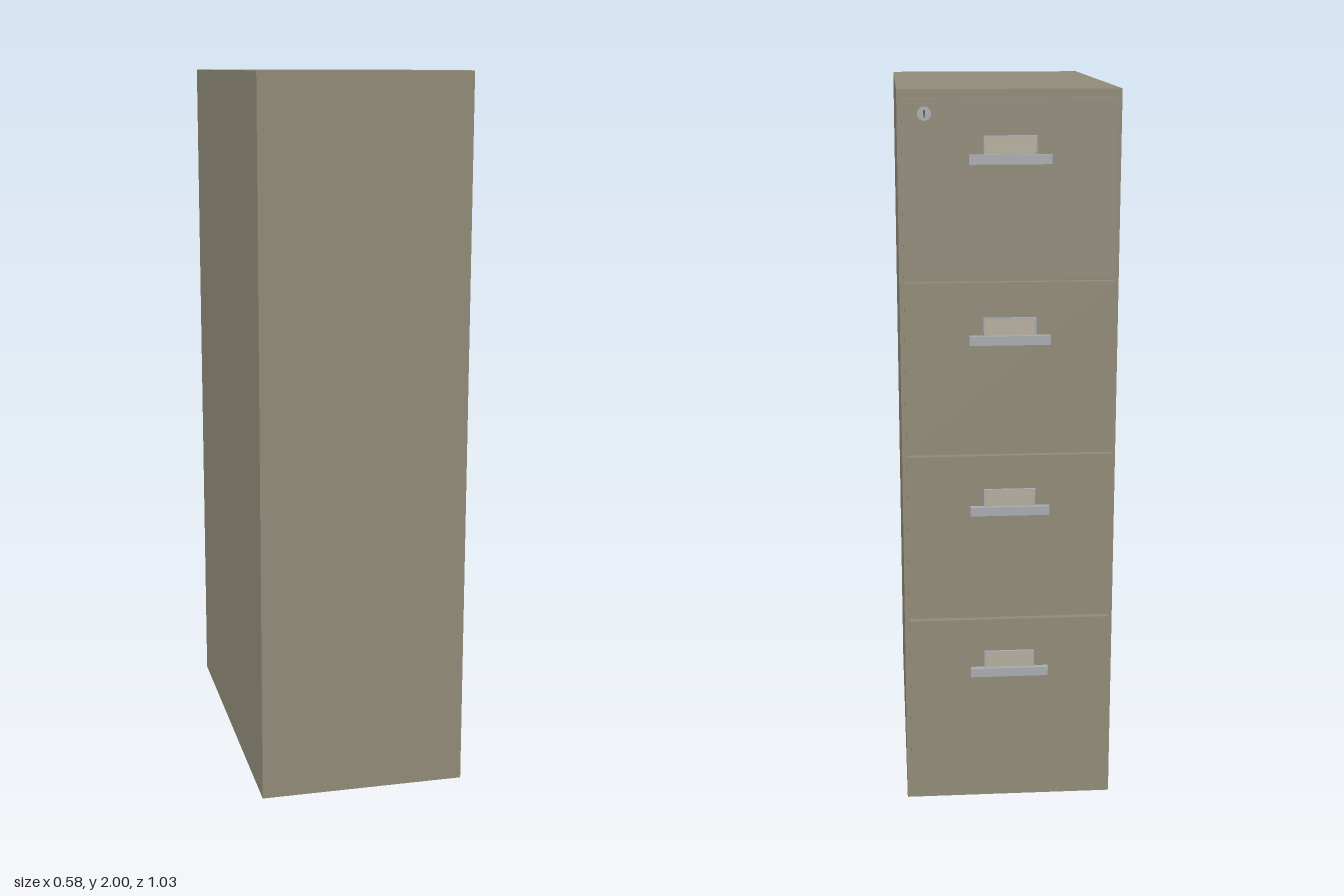
import * as THREE from 'three';

const paint = new THREE.MeshStandardMaterial({ color: 0x918a78 });
const metal = new THREE.MeshStandardMaterial({ color: 0xa8abaf });
const paper = new THREE.MeshStandardMaterial({ color: 0xb5ae9e });
const dark = new THREE.MeshStandardMaterial({ color: 0x55565a });

// Box given by its lower and upper corners
function box(name, material, [x0, y0, z0], [x1, y1, z1]) {
  const mesh = new THREE.Mesh(new THREE.BoxGeometry(x1 - x0, y1 - y0, z1 - z0), material);
  mesh.name = name;
  mesh.position.set((x0 + x1) / 2, (y0 + y1) / 2, (z0 + z1) / 2);
  return mesh;
}

// Drawer front with pull handle and card holder, base at y = 0
function createDrawer() {
  const drawer = new THREE.Group();
  drawer.add(
    box('drawerFront', paint, [-0.279, 0, -0.501], [0.279, 0.465, -0.483]),
    box('handle', metal, [-0.108, 0.298, -0.516], [0.108, 0.323, -0.5]),
    box('labelCard', paper, [-0.065, 0.323, -0.506], [0.065, 0.367, -0.5])
  );
  // Thin frame around the card
  for (const side of [-1, 1]) {
    const x = side * 0.067;
    drawer.add(box('labelFrameSide', metal, [x - 0.003, 0.323, -0.508], [x + 0.003, 0.37, -0.5]));
  }
  drawer.add(box('labelFrameTop', metal, [-0.07, 0.367, -0.508], [0.07, 0.371, -0.5]));
  return drawer;
}

// Round key lock with a slot
function createLock() {
  const lock = new THREE.Group();
  lock.name = 'lock';
  const barrel = new THREE.Mesh(new THREE.CylinderGeometry(0.018, 0.018, 0.008, 24), metal);
  barrel.name = 'lockBarrel';
  barrel.rotation.x = Math.PI / 2;
  barrel.position.z = -0.504;
  lock.add(barrel, box('keySlot', dark, [-0.002, -0.009, -0.5085], [0.002, 0.009, -0.504]));
  lock.position.set(0.221, 1.94, 0);
  return lock;
}

export function createModel() {
  const cabinet = new THREE.Group();
  cabinet.name = 'filingCabinet';
  cabinet.add(box('cabinetBody', paint, [-0.291, 0, -0.484], [0.291, 2, 0.516]));
  for (let i = 0; i < 4; i++) {
    const drawer = createDrawer();
    drawer.name = `drawer${i + 1}`;
    drawer.position.y = 0.085 + i * 0.476;
    cabinet.add(drawer);
  }
  cabinet.add(createLock());
  return cabinet;
}
